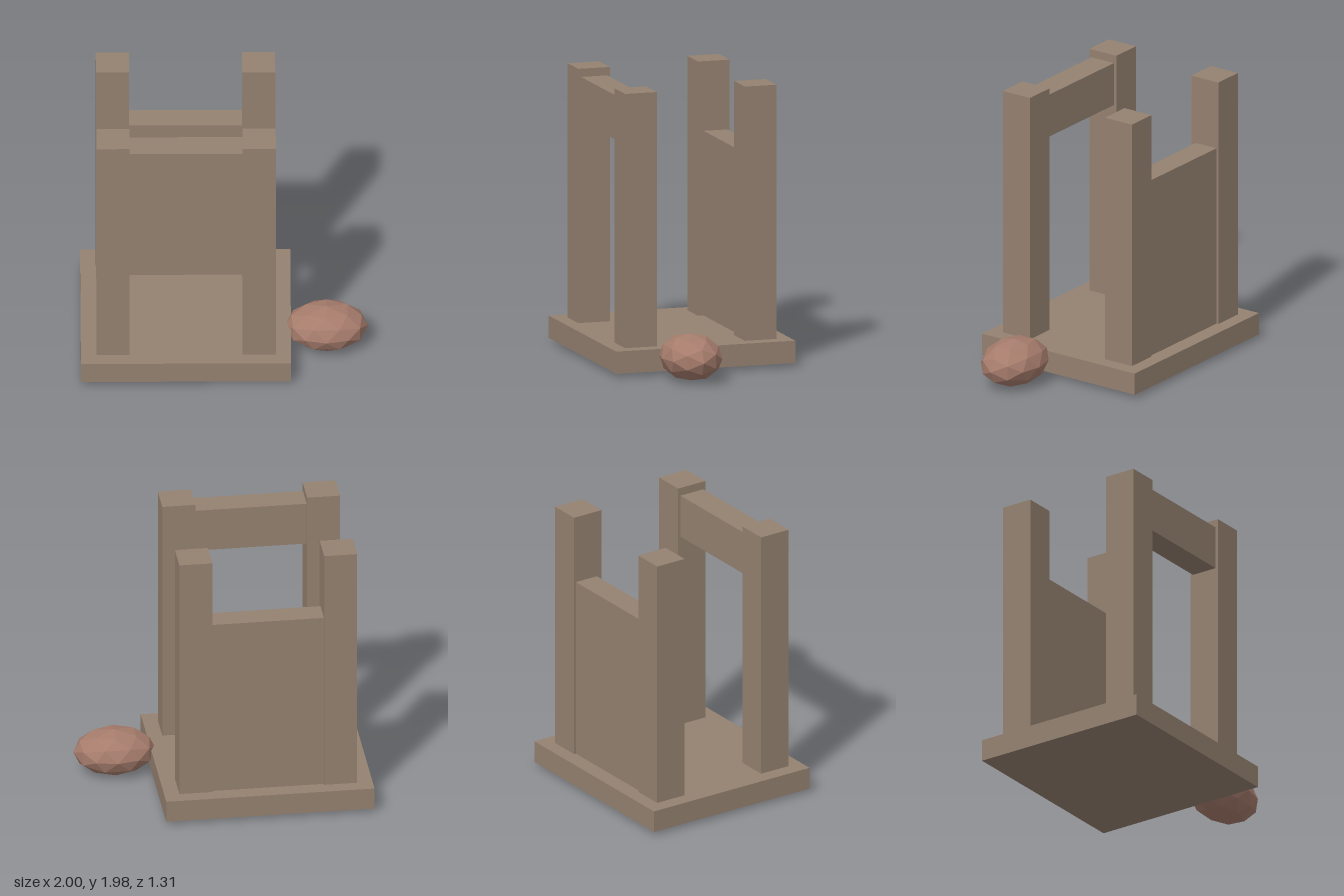
import * as THREE from 'three';

export function createModel() {
  const group = new THREE.Group();
  const stone = new THREE.MeshStandardMaterial({ color: 0x948170 });
  stone.name = 'weathered stone';
  const clay = new THREE.MeshStandardMaterial({ color: 0xa67c6c, flatShading: true });
  clay.name = 'reddish boulder';

  // Box given by its limits on each axis
  const block = (name, [x0, x1], [y0, y1], [z0, z1]) => {
    const mesh = new THREE.Mesh(new THREE.BoxGeometry(x1 - x0, y1 - y0, z1 - z0), stone);
    mesh.position.set((x0 + x1) / 2, (y0 + y1) / 2, (z0 + z1) / 2);
    mesh.name = name;
    group.add(mesh);
  };

  // Floor slab
  block('base', [-1, 0.46], [0.033, 0.19], [-0.657, 0.657]);

  // Four corner posts
  for (const [side, x] of [['right', [-0.892, -0.661]], ['left', [0.123, 0.354]]]) {
    block(side + 'FrontPost', x, [0.19, 1.985], [0.323, 0.555]);
    block(side + 'BackPost', x, [0.19, 1.985], [-0.555, -0.323]);
  }

  // Lintel across the front and wall panel across the back
  block('frontLintel', [-0.661, 0.123], [1.615, 1.927], [0.343, 0.535]);
  block('backWall', [-0.661, 0.123], [0.19, 1.493], [-0.54, -0.363]);

  // Faceted boulder beside the slab
  const rock = new THREE.IcosahedronGeometry(1, 1);
  rock.rotateZ(Math.PI / 2);
  rock.scale(0.287, 0.165, 0.212);
  const boulder = new THREE.Mesh(rock, clay);
  boulder.position.set(0.708, 0.17, 0.193);
  boulder.name = 'boulder';
  group.add(boulder);

  return group;
}
